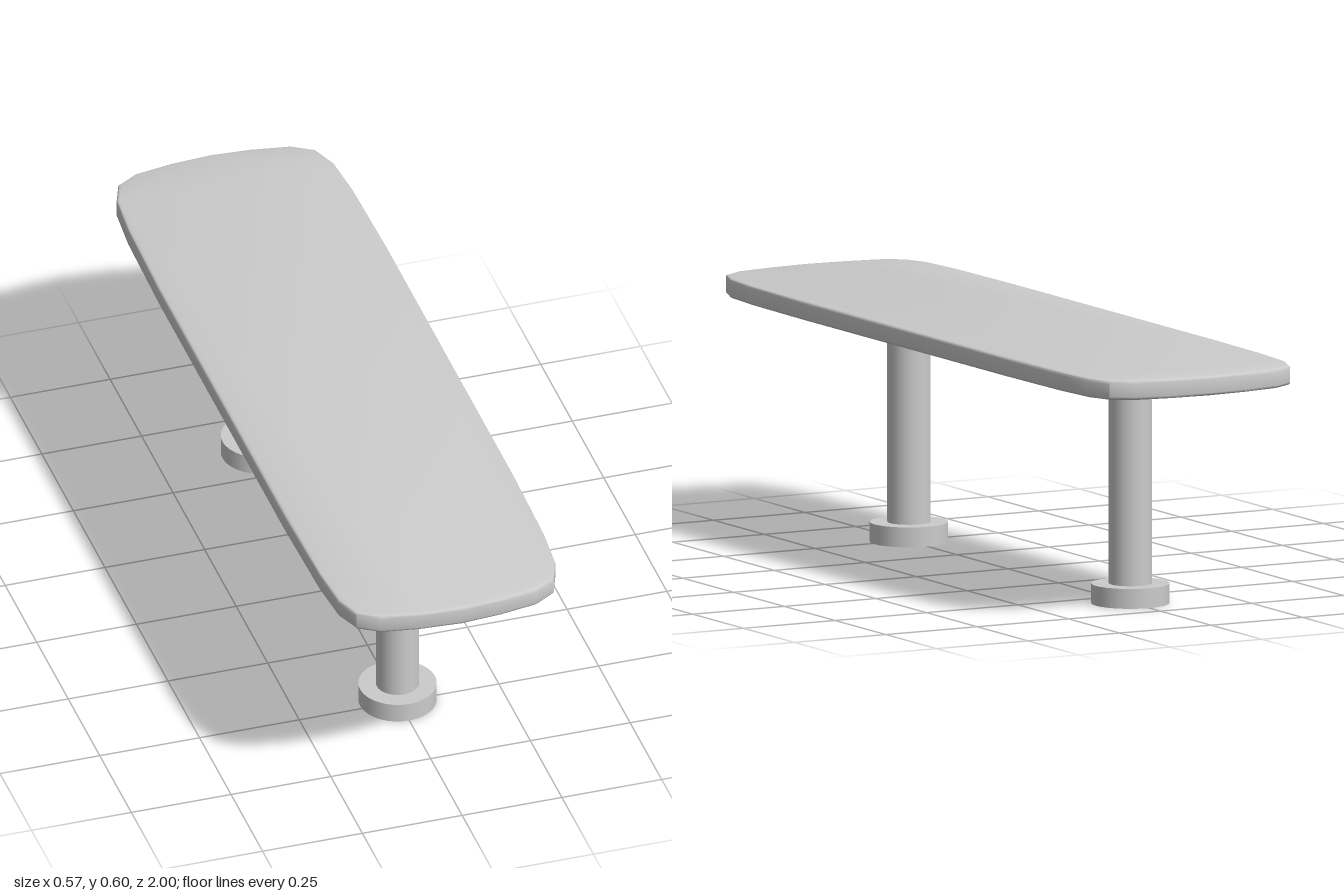
import * as THREE from 'three';
import { toCreasedNormals } from 'three/addons/utils/BufferGeometryUtils.js';

const material = new THREE.MeshStandardMaterial({ color: 0xcccccc });

function addMesh(parent, name, geometry, y = 0) {
  const mesh = new THREE.Mesh(geometry, material);
  mesh.name = name;
  mesh.position.y = y;
  parent.add(mesh);
}

// Rounded plank, outlined by one quarter mirrored around both axes
function createSeat(bottom, top) {
  const quarter = [
    [0.287, 0.5], [0.282, 0.76], [0.272, 0.88], [0.247, 0.945],
    [0.195, 0.977], [0.1, 0.993], [0, 1],
  ];
  const right = [...quarter, ...quarter.slice(0, -1).reverse().map(([x, z]) => [-x, z])];
  const outline = [...right, ...right.map(([x, z]) => [-x, -z])]
    .map(([x, z]) => new THREE.Vector2(x, z));
  const bevel = 0.007;
  const geometry = new THREE.ExtrudeGeometry(new THREE.Shape(outline), {
    depth: top - bottom - 2 * bevel,
    bevelThickness: bevel,
    bevelSize: bevel,
    bevelOffset: -bevel,
    bevelSegments: 3,
  });
  geometry.rotateX(-Math.PI / 2);
  geometry.translate(0, bottom + bevel, 0);
  return toCreasedNormals(geometry, 0.65);
}

// Upright cylinder between two heights
function addDisc(parent, name, radius, bottom, top) {
  addMesh(parent, name, new THREE.CylinderGeometry(radius, radius, top - bottom, 32), (bottom + top) / 2);
}

export function createModel() {
  const model = new THREE.Group();
  model.name = 'bench';
  addMesh(model, 'seat', createSeat(0.555, 0.602));

  // Two pedestals, set slightly off centre along the seat
  for (const [name, z] of [['frontPedestal', 0.488], ['backPedestal', -0.603]]) {
    const pedestal = new THREE.Group();
    pedestal.name = name;
    pedestal.position.z = z;
    addDisc(pedestal, 'foot', 0.094, 0, 0.048);
    addDisc(pedestal, 'column', 0.052, 0.048, 0.527);
    addDisc(pedestal, 'mountingPlate', 0.101, 0.527, 0.556);
    model.add(pedestal);
  }
  return model;
}
